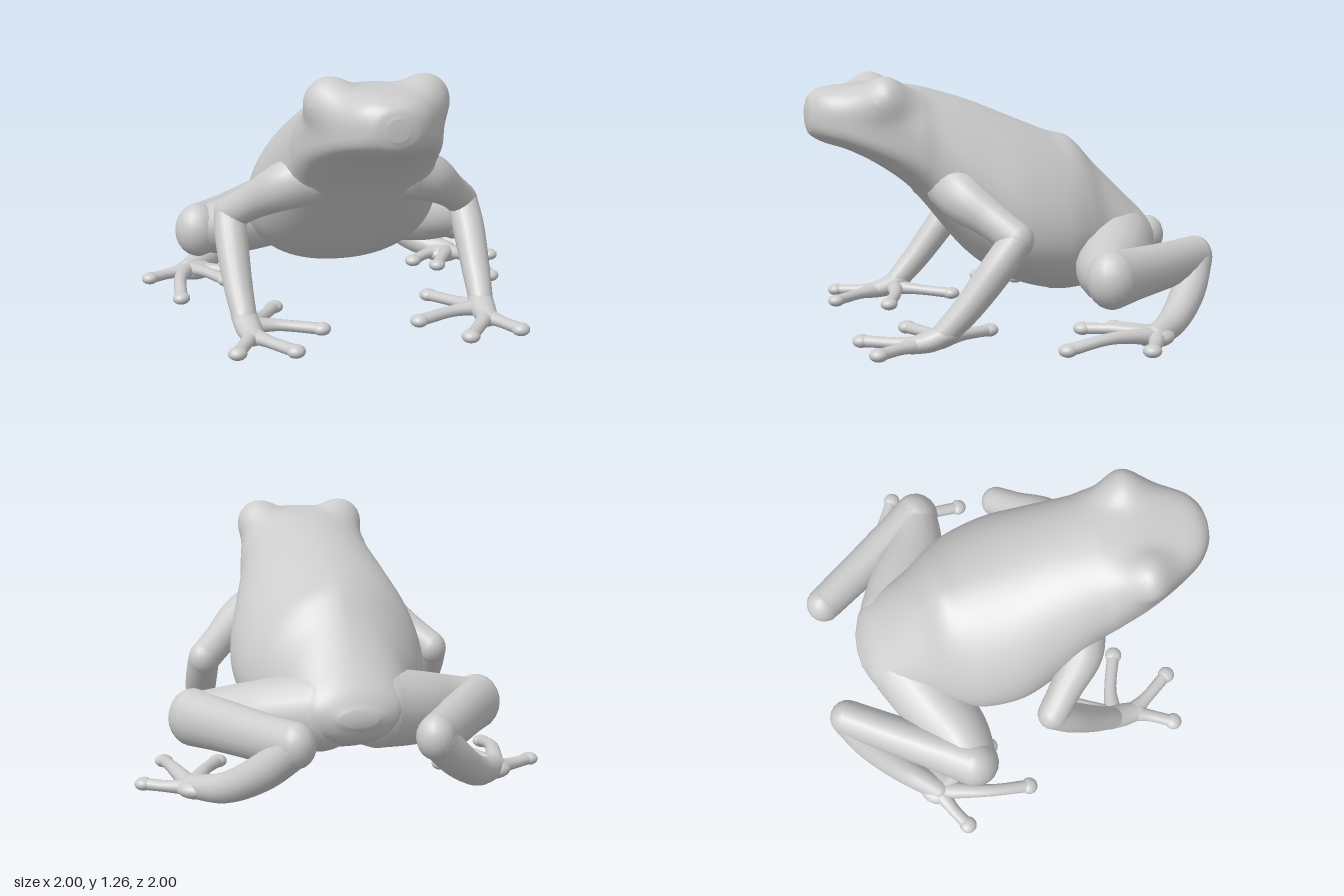
import * as THREE from 'three';
import { mergeVertices, mergeGeometries } from 'three/addons/utils/BufferGeometryUtils.js';

const material = new THREE.MeshStandardMaterial({ color: 0xcccccc });

function addMesh(parent, name, geometry) {
  const mesh = new THREE.Mesh(geometry, material);
  mesh.name = name;
  parent.add(mesh);
  return mesh;
}

function weld(geometry) {
  geometry.deleteAttribute('uv');
  geometry.deleteAttribute('normal');
  const welded = mergeVertices(geometry, 1e-5);
  welded.computeVertexNormals();
  return welded;
}

// Tapered, round-ended limb through points [x, y, z, radius]; tall stretches its section in y
function limbGeometry(points, side, tall = 1, steps = 28, sides = 18) {
  const path = new THREE.CatmullRomCurve3(points.map(p => new THREE.Vector3(p[0] * side, p[1], p[2])));
  path.getPointAt = path.getPoint;
  path.getTangentAt = path.getTangent;
  const radii = new THREE.CatmullRomCurve3(points.map((p, i) => new THREE.Vector3(p[3], i, 0)));
  const tube = new THREE.TubeGeometry(path, steps, 1, sides);
  const pos = tube.attributes.position;
  const v = new THREE.Vector3();
  for (let i = 0; i <= steps; i++) {
    const centre = path.getPoint(i / steps);
    const r = radii.getPoint(i / steps).x;
    for (let j = 0; j <= sides; j++) {
      const k = i * (sides + 1) + j;
      v.fromBufferAttribute(pos, k).sub(centre).multiplyScalar(r);
      v.y *= tall;
      v.add(centre);
      pos.setXYZ(k, v.x, v.y, v.z);
    }
  }
  const ends = [points[0], points[points.length - 1]].map(p =>
    new THREE.SphereGeometry(p[3], 18, 12).scale(1, tall, 1).translate(p[0] * side, p[1], p[2]));
  return mergeGeometries([tube, ...ends].map(weld));
}

function ellipsoid(x, y, z, rx, ry, rz) {
  return new THREE.SphereGeometry(1, 28, 20).scale(rx, ry, rz).translate(x, y, z);
}

// Head and trunk sections from snout to rump:
// z, top, bottom, half width, widest height, upper squareness, lower squareness
const SECTIONS = [
  [1.0, 1.12, 1.02, 0.05, 1.07, 2, 2],
  [0.98, 1.165, 0.975, 0.115, 1.06, 2.3, 2.3],
  [0.92, 1.2, 0.94, 0.185, 1.05, 2.6, 2.8],
  [0.8, 1.215, 0.9, 0.255, 1.02, 2.8, 3],
  [0.65, 1.22, 0.82, 0.315, 0.97, 2.8, 2.8],
  [0.5, 1.21, 0.71, 0.35, 0.91, 2.4, 2.6],
  [0.4, 1.19, 0.6, 0.365, 0.84, 2.2, 2.5],
  [0.2, 1.13, 0.36, 0.43, 0.68, 2, 2.3],
  [0, 1.05, 0.225, 0.48, 0.56, 1.9, 2.2],
  [-0.2, 0.97, 0.165, 0.465, 0.5, 1.8, 2.2],
  [-0.33, 0.93, 0.16, 0.41, 0.48, 1.7, 2.2],
  [-0.45, 0.805, 0.18, 0.34, 0.45, 1.75, 2.2],
  [-0.6, 0.655, 0.23, 0.28, 0.42, 1.9, 2.2],
  [-0.72, 0.535, 0.28, 0.21, 0.41, 2, 2.2],
  [-0.775, 0.44, 0.36, 0.09, 0.4, 2, 2],
];

const bell = d => Math.exp(-d * d);

function bodyGeometry() {
  const column = c => new THREE.CatmullRomCurve3(SECTIONS.map((s, i) => new THREE.Vector3(s[c], i, 0)));
  const columns = SECTIONS[0].map((_, c) => column(c));
  const rings = 140, around = 96;
  const positions = [], index = [];
  for (let i = 0; i <= rings; i++) {
    const [z, top, bottom, width, mid, upper, lower] = columns.map(c => c.getPoint(i / rings).x);
    const mouth = 0.965 - 0.38 * (0.95 - z);
    const mouthDepth = 0.07 * THREE.MathUtils.smoothstep(z, 0.56, 0.68);
    for (let j = 0; j < around; j++) {
      const a = j / around * Math.PI * 2;
      const c = Math.cos(a), s = Math.sin(a);
      const n = s > 0 ? upper : lower;
      let y = mid + (s > 0 ? top - mid : bottom - mid) * Math.abs(s) ** (2 / n);
      let x = width * Math.abs(c) ** (2 / n);
      // Shallow crease along the mouth
      x *= 1 - mouthDepth * bell((y - mouth) / 0.02);
      // Brow swelling out over each eye
      const swell = 0.085 * bell((z - 0.65) / 0.12) * bell(Math.hypot(x - 0.24, y - 1.17) / 0.1);
      const dx = x - 0.19, dy = y - 1.1, d = Math.hypot(dx, dy);
      x += swell * dx / d;
      y += swell * dy / d;
      positions.push(Math.sign(c) * x, y, z);
    }
  }
  for (let i = 0; i < rings; i++) {
    for (let j = 0; j < around; j++) {
      const a = i * around + j, b = i * around + (j + 1) % around;
      index.push(a, a + around, b, b, a + around, b + around);
    }
  }
  // Close the snout and the rump
  const first = SECTIONS[0], last = SECTIONS[SECTIONS.length - 1];
  positions.push(0, first[4], first[0] + 0.002, 0, last[4], last[0] - 0.008);
  const tip = (rings + 1) * around, end = rings * around;
  for (let j = 0; j < around; j++) {
    const k = (j + 1) % around;
    index.push(tip, j, k, tip + 1, end + k, end + j);
  }
  const geometry = new THREE.BufferGeometry();
  geometry.setAttribute('position', new THREE.Float32BufferAttribute(positions, 3));
  geometry.setIndex(index);
  geometry.computeVertexNormals();
  return geometry;
}

// Digits: bend and tip positions; each starts at the hand or foot and ends in a round pad
function addDigits(parent, name, root, digits, side) {
  digits.forEach(([bend, tip], i) => {
    const points = [[...root, 0.05], [...bend, 0.033], [...tip, 0.033]];
    addMesh(parent, name + (i + 1), limbGeometry(points, side, 0.85, 16, 12));
    addMesh(parent, name + 'Pad' + (i + 1), ellipsoid(tip[0] * side, tip[1], tip[2], 0.044, 0.031, 0.044));
  });
}

const FINGERS = [
  [[0.515, 0.05, 0.67], [0.415, 0.045, 0.81]],
  [[0.615, 0.05, 0.66], [0.675, 0.045, 0.775]],
  [[0.43, 0.06, 0.49], [0.24, 0.05, 0.56]],
  [[0.49, 0.06, 0.35], [0.4, 0.05, 0.19]],
];
const TOES = [
  [[0.85, 0.05, -0.485], [0.955, 0.05, -0.425]],
  [[0.81, 0.08, -0.28], [0.83, 0.045, -0.065]],
  [[0.67, 0.08, -0.38], [0.58, 0.075, -0.22]],
  [[0.61, 0.06, -0.49], [0.5, 0.05, -0.41]],
];

export function createModel() {
  const model = new THREE.Group();
  model.name = 'frog';
  addMesh(model, 'body', bodyGeometry());

  for (const side of [1, -1]) {
    const label = side > 0 ? 'left' : 'right';

    // Eyeball set under the brow
    addMesh(model, label + 'Eye', ellipsoid(0.252 * side, 1.13, 0.655, 0.082, 0.085, 0.095));

    // Front leg: shoulder to elbow, elbow to wrist, hand
    const front = new THREE.Group();
    front.name = label + 'FrontLeg';
    addMesh(front, 'upperArm', limbGeometry([
      [0.24, 0.74, 0.33, 0.13], [0.37, 0.69, 0.31, 0.108],
      [0.5, 0.6, 0.2, 0.083], [0.6, 0.52, 0.108, 0.078]], side, 1.1));
    addMesh(front, 'forearm', limbGeometry([
      [0.6, 0.52, 0.108, 0.078], [0.605, 0.4, 0.2, 0.08],
      [0.6, 0.22, 0.34, 0.07], [0.59, 0.1, 0.45, 0.06]], side));
    addMesh(front, 'hand', limbGeometry([
      [0.59, 0.1, 0.44, 0.062], [0.58, 0.065, 0.52, 0.062], [0.575, 0.05, 0.6, 0.05]], side, 0.8));
    addDigits(front, 'frontFinger', [0.575, 0.052, 0.57], FINGERS.slice(0, 2), side);
    addDigits(front, 'innerFinger', [0.57, 0.065, 0.47], FINGERS.slice(2), side);
    model.add(front);

    // Hind leg folded into a Z: thigh, shin, ankle, foot
    const hind = new THREE.Group();
    hind.name = label + 'HindLeg';
    addMesh(hind, 'thigh', limbGeometry([
      [0.14, 0.39, -0.55, 0.19], [0.33, 0.36, -0.465, 0.18],
      [0.53, 0.335, -0.365, 0.153], [0.7, 0.33, -0.325, 0.122]], side));
    addMesh(hind, 'shin', limbGeometry([
      [0.705, 0.33, -0.32, 0.12], [0.6, 0.33, -0.48, 0.108],
      [0.45, 0.33, -0.71, 0.098], [0.32, 0.335, -0.905, 0.091]], side, 1.16));
    addMesh(hind, 'ankle', limbGeometry([
      [0.33, 0.32, -0.9, 0.09], [0.45, 0.2, -0.82, 0.085],
      [0.6, 0.09, -0.68, 0.072], [0.74, 0.055, -0.53, 0.055]], side));
    addMesh(hind, 'foot', ellipsoid(0.71 * side, 0.05, -0.53, 0.105, 0.05, 0.1));
    addDigits(hind, 'toe', [0.74, 0.055, -0.53], TOES, side);
    model.add(hind);
  }
  return model;
}
